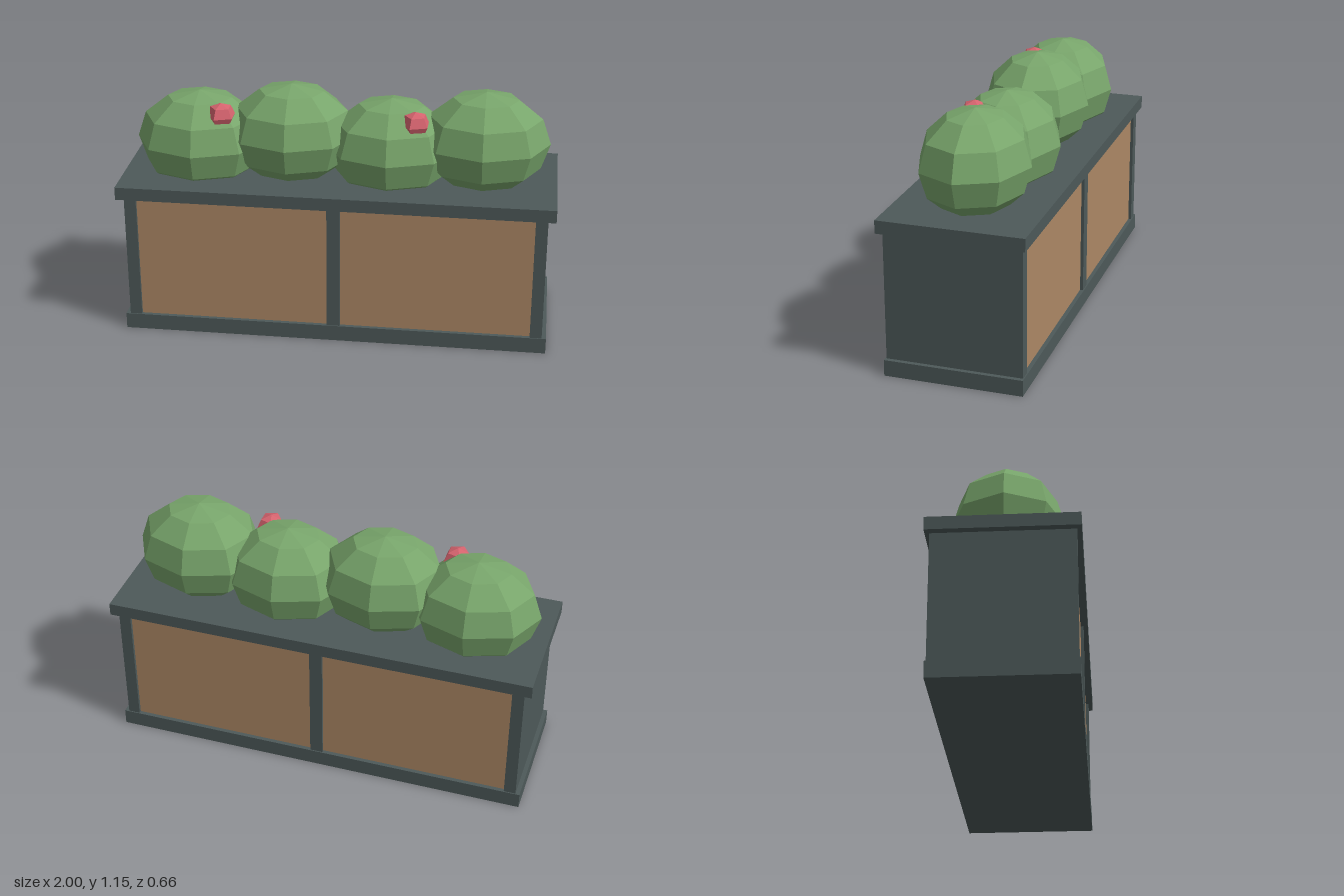
import * as THREE from 'three';

export function createModel() {
  const model = new THREE.Group();
  model.name = 'planterBox';

  const material = (name, color, flatShading = false) => {
    const m = new THREE.MeshStandardMaterial({ color, flatShading });
    m.name = name;
    return m;
  };
  const slate = material('slateFrame', 0x4d5959);
  const wood = material('woodPanel', 0xad8865);
  const leaf = material('leafGreen', 0x78a56b, true);
  const pink = material('blossomPink', 0xd5636e, true);

  const add = (name, geometry, mat, x, y, z) => {
    const mesh = new THREE.Mesh(geometry, mat);
    mesh.name = name;
    mesh.position.set(x, y, z);
    model.add(mesh);
    return mesh;
  };
  // Box given by its width, bottom, top and depth
  const slab = (name, mat, x, width, bottom, top, depth) =>
    add(name, new THREE.BoxGeometry(width, top - bottom, depth), mat, x, (bottom + top) / 2, 0);

  // Plinth and top board
  slab('plinth', slate, 0, 1.97, 0, 0.075, 0.63);
  slab('topBoard', slate, 0, 2, 0.67, 0.73, 0.66);

  // End walls and recessed panels on both sides of the centre post
  for (const side of [-1, 1]) {
    slab('endWall', slate, side * 0.9375, 0.055, 0.075, 0.67, 0.62);
    slab('woodPanel', wood, side * 0.47, 0.88, 0.075, 0.67, 0.592);
  }
  slab('centrePost', slate, 0, 0.06, 0.075, 0.67, 0.62);

  // Clipped bushes, alternating in height; the lower ones carry a blossom
  const bushGeometry = new THREE.SphereGeometry(1, 8, 6).scale(0.3, 0.24, 0.252);
  const blossomGeometry = new THREE.SphereGeometry(1, 5, 4).scale(0.07, 0.06, 0.07);
  [-0.66, -0.23, 0.23, 0.66].forEach((x, i) => {
    const low = i % 2 === 0;
    add('bush', bushGeometry, leaf, x, low ? 0.86 : 0.91, 0);
    if (low) add('blossom', blossomGeometry, pink, x + 0.12, 1.02, 0.11);
  });

  return model;
}
